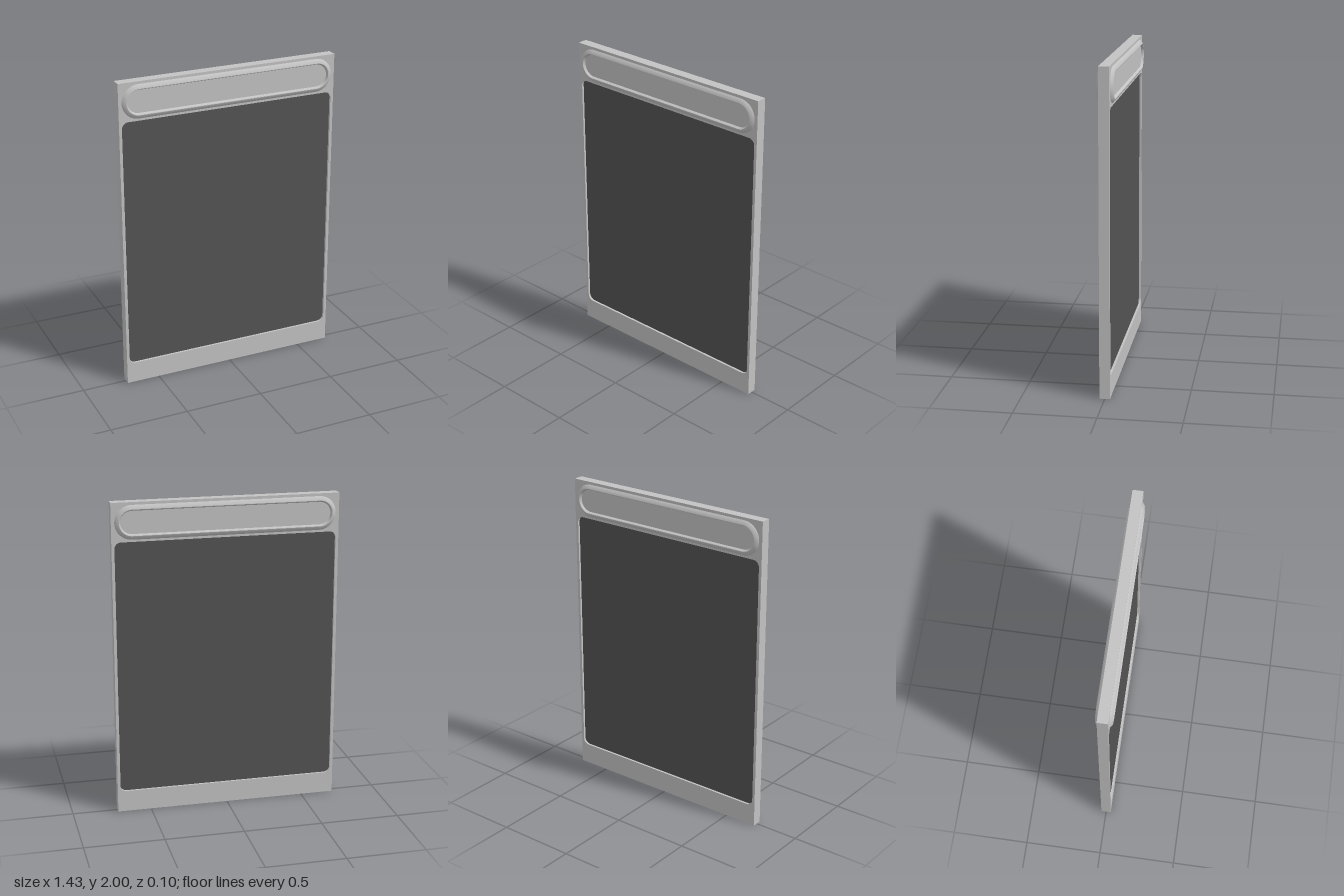
import * as THREE from 'three';
import { toCreasedNormals } from 'three/addons/utils/BufferGeometryUtils.js';

const named = (name, hex) => new THREE.MeshStandardMaterial({ name, color: hex });

// Rounded rectangle outline centred on (0, cy)
function roundedRect(Type, w, h, cy, r) {
  const p = new Type(), x = w / 2 - r, y = h / 2 - r;
  p.absarc(x, cy + y, r, 0, Math.PI / 2);
  p.absarc(-x, cy + y, r, Math.PI / 2, Math.PI);
  p.absarc(-x, cy - y, r, Math.PI, Math.PI * 1.5);
  p.absarc(x, cy - y, r, Math.PI * 1.5, Math.PI * 2);
  p.closePath();
  return p;
}

// Straight extrusion centred on z = 0
function slab(shape, halfDepth) {
  const geo = new THREE.ExtrudeGeometry(shape, {
    depth: 2 * halfDepth, curveSegments: 12, bevelEnabled: false,
  });
  return geo.translate(0, 0, -halfDepth);
}

// Pill-shaped loops lofted through [radius, z] steps, from the outside to the middle
function pillLoft(halfLength, profile, arc = 20) {
  const pos = [], index = [], n = 2 * (arc + 1);
  for (const [r, z] of profile) {
    for (let i = 0; i < n; i++) {
      const right = i <= arc;
      const a = -Math.PI / 2 + Math.PI * (right ? i : i - 1) / arc;
      pos.push((right ? halfLength : -halfLength) + r * Math.cos(a), r * Math.sin(a), z);
    }
  }
  for (let k = 0; k < profile.length - 1; k++) {
    for (let i = 0; i < n; i++) {
      const a = k * n + i, b = k * n + (i + 1) % n;
      index.push(a, b, b + n, a, b + n, a + n);
    }
  }
  // Flat floor inside the last loop
  const last = (profile.length - 1) * n;
  for (let i = 1; i < n - 1; i++) index.push(last, last + i, last + i + 1);
  const geo = new THREE.BufferGeometry();
  geo.setAttribute('position', new THREE.Float32BufferAttribute(pos, 3));
  geo.setIndex(index);
  return geo;
}

export function createModel() {
  const group = new THREE.Group();
  group.name = 'framedPanel';
  const grey = named('grey metal', 0xc2c2c2);
  const dark = named('dark glass', 0x535353);
  const add = (name, geo, mat) => {
    const mesh = new THREE.Mesh(toCreasedNormals(geo, 0.45), mat);
    mesh.name = name;
    group.add(mesh);
    return mesh;
  };

  // Frame with a rounded window opening
  const outline = new THREE.Shape([[-0.713, 0], [0.713, 0], [0.713, 2], [-0.713, 2]]
    .map(([x, y]) => new THREE.Vector2(x, y)));
  outline.holes.push(roundedRect(THREE.Path, 1.39, 1.62, 0.947, 0.04));
  add('frame', slab(outline, 0.032), grey);

  // Dark pane, recessed on both sides
  add('pane', slab(roundedRect(THREE.Shape, 1.394, 1.624, 0.947, 0.042), 0.018), dark);

  // Pill-shaped handle cups: a raised, rounded rim around a sunken flat floor
  const rim = [[0.107, 0.031], [0.102, 0.037], [0.085, 0.049], [0.081, 0.05],
    [0.078, 0.049], [0.071, 0.034]];
  for (const side of ['front', 'back']) {
    const cup = add(side + 'HandleCup', pillLoft(0.586, rim), grey);
    cup.position.y = 1.877;
    cup.rotation.y = side === 'back' ? Math.PI : 0;
  }

  return group;
}
